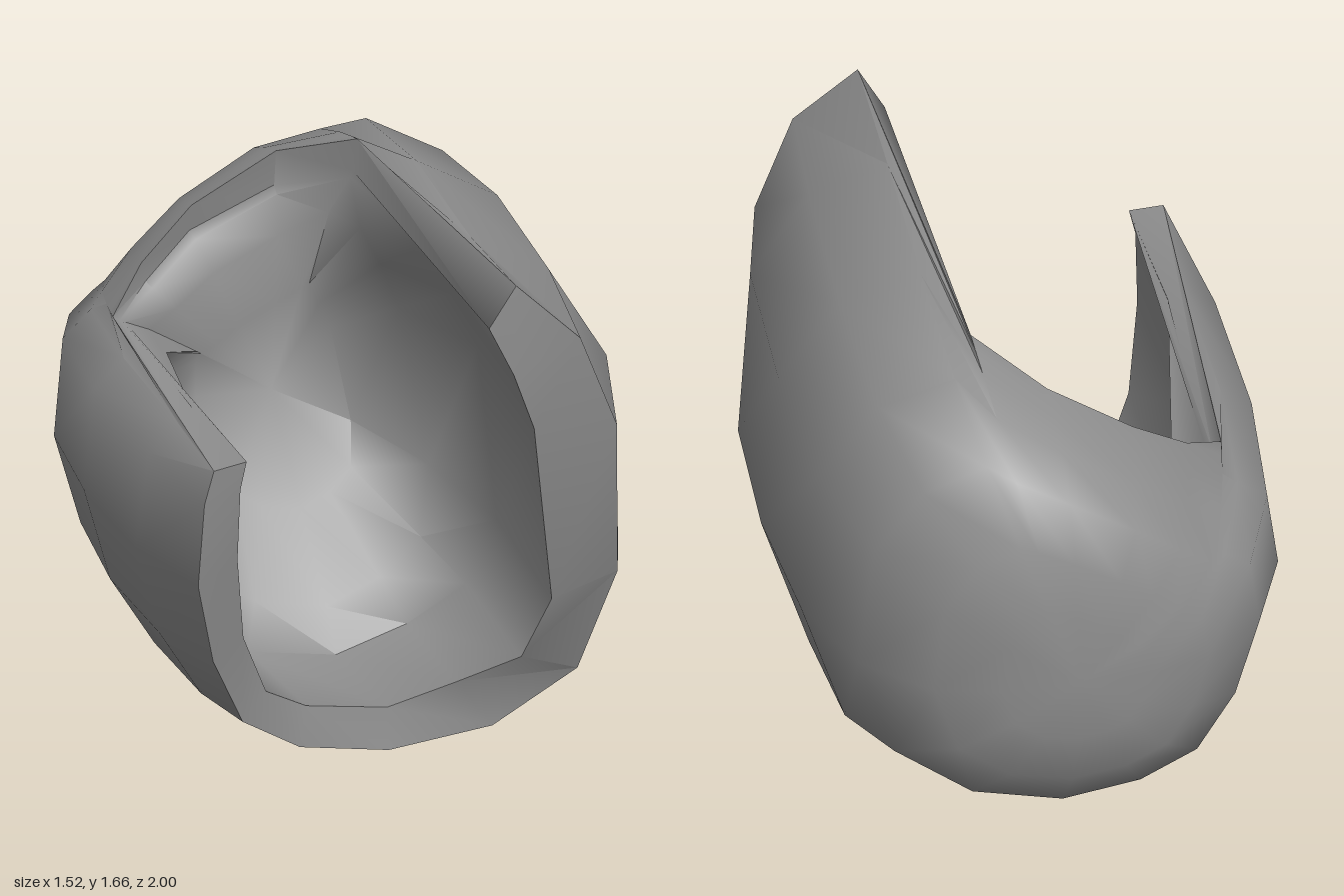
import * as THREE from 'three';
import { toCreasedNormals } from 'three/addons/utils/BufferGeometryUtils.js';

const { lerp, clamp } = THREE.MathUtils;

// One entry per column around the shell, clockwise from the right-hand lip:
// outer x, outer y, rim z, rim scale, lip x, lip y, inner wall z
const ARMS = [
  [0.3, 1.66, 0.97, 1, 0.22, 1.52, 0.25],
  [0.54, 1.54, 1, 0.92, 0.29, 1.37, 0.3],
  [0.72, 1.24, 0.98, 0.86, 0.36, 1.18, 0.28],
  [0.76, 0.64, 0.9, 0.85, 0.44, 0.58, 0.2],
  [0.63, 0.24, 0.78, 0.88, 0.38, 0.35, 0.09],
  [0.34, 0.05, 0.66, 0.94, 0.21, 0.24, 0.07],
  [0, 0, 0.63, 0.95, 0, 0.17, 0.07],
  [-0.3, 0.05, 0.64, 0.95, -0.26, 0.21, 0.07],
  [-0.52, 0.16, 0.68, 0.92, -0.4, 0.29, 0.08],
  [-0.67, 0.4, 0.74, 0.88, -0.49, 0.5, 0.14],
  [-0.765, 0.72, 0.81, 0.86, -0.53, 0.79, 0.25],
  [-0.72, 1.03, 0.84, 0.9, -0.53, 1.03, 0.31],
  [-0.62, 1.11, 0.84, 1, -0.51, 1.12, 0.36],
];
// Columns across the slanted top opening, where the rim stays at the back
const OPENING = [
  [-0.57, 1.13, -0.38, 1, -0.54, 1.11, -0.4],
  [-0.44, 1.24, -0.51, 1, -0.42, 1.17, -0.5],
  [-0.26, 1.38, -0.58, 1, -0.26, 1.29, -0.56],
  [0, 1.54, -0.55, 1, 0, 1.42, -0.54],
  [0.2, 1.63, -0.36, 1, 0.19, 1.52, -0.38],
];

// Outer profile from back to front as [scale, depth] steps
const ARM_PROFILE = [[0.3, 0.01], [0.55, 0.04], [0.8, 0.13], [0.95, 0.29], [1, 0.53], [0.98, 0.8]];
const OPENING_PROFILE = [[0.3, 0.03], [0.55, 0.09], [0.78, 0.27], [0.9, 0.57], [0.96, 0.8], [0.985, 0.92]];
const BACK = new THREE.Vector3(-0.02, 0.75, -1);
const INNER_BACK = new THREE.Vector3(-0.03, 0.78, -0.5);

// Profile from the back centre, over the rim, to the centre of the inner wall
function column([x, y, rimZ, rimScale, lipX, lipY, wallZ], profile, wallScale) {
  const around = (px, py, s, z) => new THREE.Vector3(
    BACK.x + (px - BACK.x) * s, BACK.y + (py - BACK.y) * s, z);
  // The back is fuller towards the top and slimmer towards the right
  const dir = new THREE.Vector2(x - BACK.x, y - BACK.y).normalize();
  const fullness = 1 - 0.15 * Math.max(0, dir.x) + 0.25 * Math.max(0, dir.y);
  const outer = profile.map(([s, t]) =>
    around(x, y, s, lerp(BACK.z, rimZ, t ** fullness)));
  const rim = around(x, y, rimScale, rimZ);
  const lip = new THREE.Vector3(lipX, lipY, rimZ - 0.02);
  // The hollow widens behind the lip, but never above the slanted opening
  const wall = around(lipX, lipY, wallScale, wallZ);
  wall.y = Math.min(wall.y, lipY);
  // The inner wall leans back as it rises
  const dish = [[0.2, 0.7], [0.55, 1]].map(([t, mix]) => {
    const p = wall.clone().lerp(INNER_BACK, t);
    const lean = lerp(0.07, INNER_BACK.z, clamp((p.y - 0.14) / 0.64, 0, 1));
    p.z = lerp(wallZ, lean, mix);
    return p;
  });
  return [BACK.clone(), ...outer, rim, lip, wall, ...dish, INNER_BACK.clone()];
}

function shellGeometry() {
  const columns = [
    ...ARMS.map((c) => column(c, ARM_PROFILE, 1.07)),
    ...OPENING.map((c) => column(c, OPENING_PROFILE, 0.97)),
  ];
  const rows = columns[0].length;
  const index = [];
  columns.forEach((_, c) => {
    const next = (c + 1) % columns.length;
    for (let r = 0; r < rows - 1; r++) {
      const a = c * rows + r;
      const d = next * rows + r;
      // Single triangles at the two centres, quads elsewhere
      if (r < rows - 2) index.push(a, a + 1, d + 1);
      else index.push(a, a + 1, d);
      if (r > 0 && r < rows - 2) index.push(a, d + 1, d);
    }
  });
  const geometry = new THREE.BufferGeometry().setFromPoints(columns.flat());
  geometry.setIndex(index);
  return toCreasedNormals(geometry, 1.1);
}

export function createModel() {
  const group = new THREE.Group();
  group.name = 'openShell';
  const grey = new THREE.MeshStandardMaterial({ color: 0x8e8e8e });
  grey.name = 'grey';
  const shell = new THREE.Mesh(shellGeometry(), grey);
  shell.name = 'shell';
  group.add(shell);
  return group;
}
